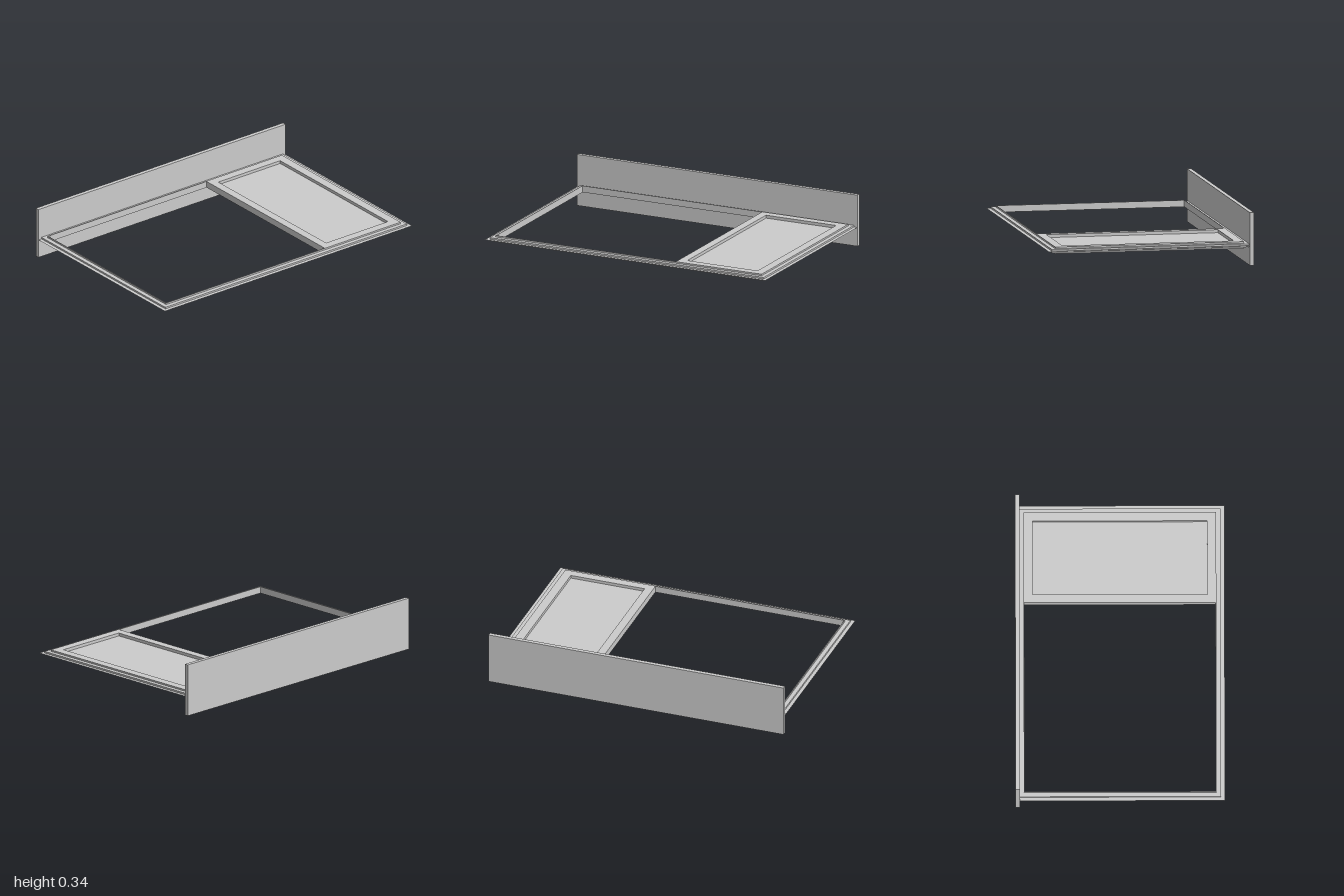
import * as THREE from 'three';

const grey = new THREE.MeshStandardMaterial({ color: 0xcccccc });
const greyThin = new THREE.MeshStandardMaterial({ color: 0xcccccc, side: THREE.DoubleSide });
const MID = 0.125; // height of the horizontal frame's middle plane

function add(group, name, geometry, material = grey) {
  const mesh = new THREE.Mesh(geometry, material);
  mesh.name = name;
  group.add(mesh);
  return mesh;
}

function corners(hw, hd) {
  return [[-hw, -hd], [hw, -hd], [hw, hd], [-hw, hd]].map(([x, y]) => new THREE.Vector2(x, y));
}

// Flat rectangular ring lying on the middle plane; h = 0 makes a thin sheet
function ring(hw, hd, innerHw, innerHd, h) {
  const shape = new THREE.Shape(corners(hw, hd));
  shape.holes.push(new THREE.Path(corners(innerHw, innerHd).reverse()));
  const geo = h > 0
    ? new THREE.ExtrudeGeometry(shape, { depth: h, bevelEnabled: false })
    : new THREE.ShapeGeometry(shape);
  return geo.translate(0, 0, -h / 2).rotateX(-Math.PI / 2).translate(0, MID, 0);
}

export function createModel() {
  const model = new THREE.Group();
  model.name = 'frameWithBackBoard';

  // Upright board along the back
  add(model, 'backBoard', new THREE.BoxGeometry(2, 0.34, 0.027)).position.set(0, 0.17, -0.6535);

  // Stepped frame: thin outer flange, rail, tall inner lip
  const frame = new THREE.Group();
  frame.name = 'frame';
  add(frame, 'outerFlange', ring(1, 0.667, 0.975, 0.641, 0), greyThin);
  add(frame, 'rail', ring(0.976, 0.642, 0.945, 0.611, 0.022));
  add(frame, 'innerLip', ring(0.948, 0.614, 0.944, 0.61, 0.043));
  model.add(frame);

  // Panel at one end, recessed above and below
  const panel = new THREE.Group();
  panel.name = 'endPanel';
  add(panel, 'panelRim', ring(0.304, 0.61, 0.25, 0.557, 0.043));
  add(panel, 'panelSheet', new THREE.BoxGeometry(0.5, 0.004, 1.114)).position.y = MID;
  panel.position.x = 0.64;
  model.add(panel);

  return model;
}
